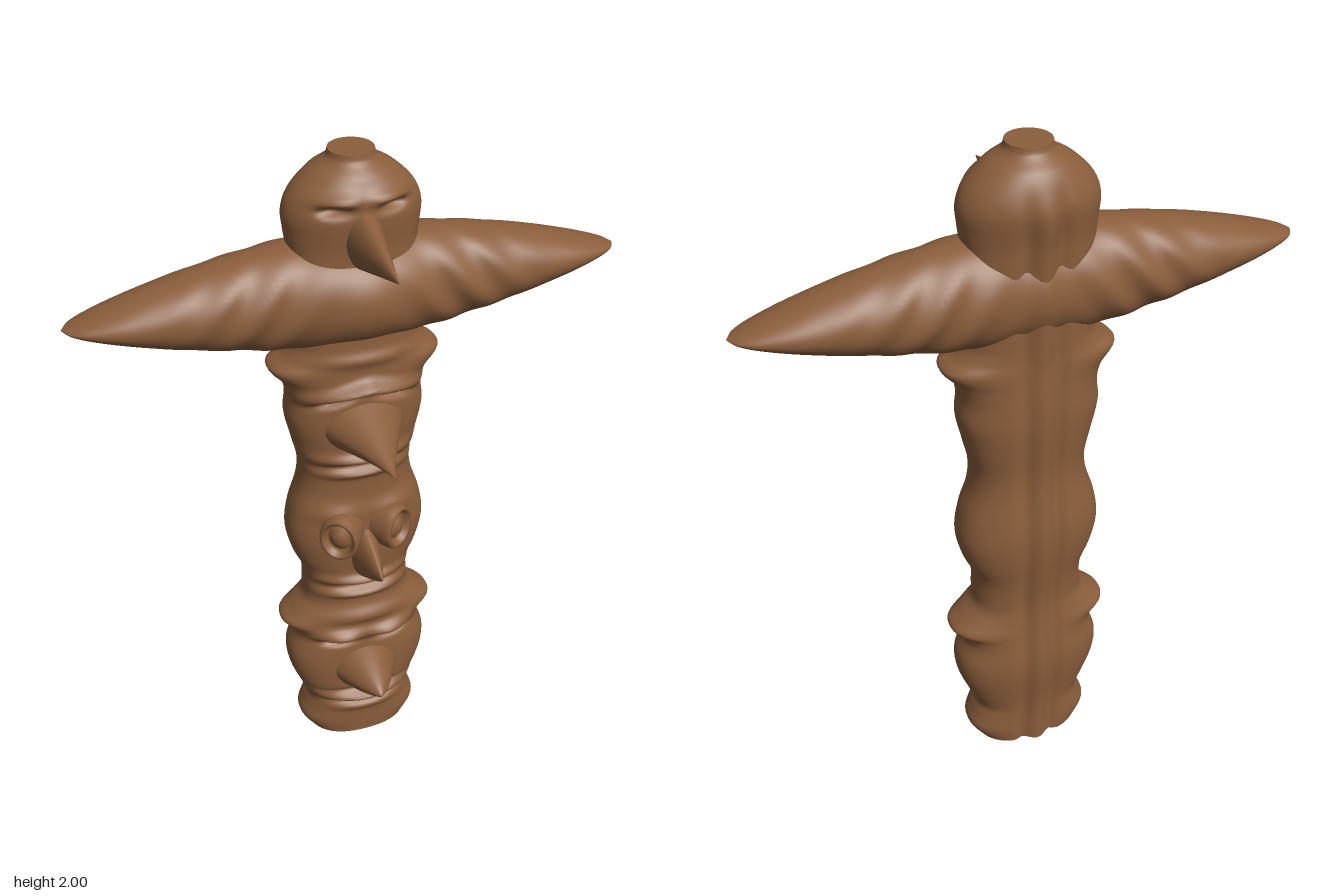
import * as THREE from 'three';

const CZ = -0.11; // depth of the pole axis
const gauss = (v, c, s) => Math.exp(-(((v - c) / s) ** 2));
const spow = (v, p) => Math.sign(v) * Math.abs(v) ** p;

// Smooth interpolation through [position, value] pairs
function curve(pts) {
  const slope = (i) => {
    const a = pts[Math.max(i - 1, 0)], b = pts[Math.min(i + 1, pts.length - 1)];
    return (b[1] - a[1]) / (b[0] - a[0]);
  };
  return (p) => {
    let i = 0;
    while (i < pts.length - 2 && p > pts[i + 1][0]) i++;
    const [x0, y0] = pts[i], [x1, y1] = pts[i + 1], h = x1 - x0;
    const t = Math.min(Math.max((p - x0) / h, 0), 1), t2 = t * t, t3 = t2 * t;
    return y0 * (2 * t3 - 3 * t2 + 1) + y1 * (3 * t2 - 2 * t3)
      + slope(i) * h * (t3 - 2 * t2 + t) + slope(i + 1) * h * (t3 - t2);
  };
}

// Closed skin over rings; fn(v, angle) gives a point, v runs 0..1
function loft(rows, cols, fn) {
  const pos = [], idx = [];
  for (let r = 0; r <= rows; r++) {
    for (let c = 0; c < cols; c++) {
      pos.push(...fn(r / rows, (c / cols) * Math.PI * 2));
      if (r === rows) continue;
      const a = r * cols + c, b = r * cols + ((c + 1) % cols);
      idx.push(a, b, b + cols, a, b + cols, a + cols);
    }
  }
  const g = new THREE.BufferGeometry();
  g.setAttribute('position', new THREE.Float32BufferAttribute(pos, 3));
  g.setIndex(idx);
  g.computeVertexNormals();
  return g;
}

const halfWidth = curve([
  [0, 0.165], [0.05, 0.195], [0.1, 0.18], [0.14, 0.168], [0.2, 0.192], [0.28, 0.22], [0.35, 0.225],
  [0.42, 0.205], [0.455, 0.215], [0.485, 0.245], [0.52, 0.21], [0.56, 0.172], [0.6, 0.165], [0.68, 0.167],
  [0.75, 0.195], [0.83, 0.211], [0.91, 0.2], [1.0, 0.172], [1.07, 0.166], [1.15, 0.182], [1.24, 0.2],
  [1.31, 0.195], [1.36, 0.208], [1.41, 0.245], [1.44, 0.205], [1.48, 0.18], [1.74, 0.175], [1.8, 0.182],
  [1.85, 0.185], [1.9, 0.165], [1.95, 0.115], [1.98, 0.068], [2, 0.06],
]);
const frontDepth = curve([
  [0, 0.12], [0.3, 0.13], [0.57, 0.11], [0.85, 0.125], [1.0, 0.11], [1.25, 0.125], [1.47, 0.12],
  [1.75, 0.115], [1.85, 0.125], [1.9, 0.118], [1.95, 0.095], [1.98, 0.065], [2, 0.06],
]);
const backDepth = curve([
  [0, 0.115], [0.15, 0.118], [0.35, 0.138], [0.58, 0.118], [0.84, 0.14], [1.05, 0.12], [1.25, 0.128],
  [1.45, 0.115], [1.75, 0.122], [1.85, 0.135], [1.9, 0.125], [1.95, 0.1], [1.98, 0.066], [2, 0.06],
]);

// Carved relief, mirrored in x: [x, y, spread x, spread y, height, fall per x]
const relief = [
  [0, 0.178, 0.13, 0.013, 0.026, 0], [0, 0.152, 0.13, 0.009, -0.018, 0], [0, 0.128, 0.13, 0.016, 0.012, 0],
  [0, 0.206, 0.13, 0.009, -0.014, 0],
  [0.08, 0.45, 0.08, 0.024, 0.035, 0], [0.09, 0.418, 0.05, 0.012, -0.03, 0], [0, 0.52, 0.14, 0.03, 0.022, 0],
  [0, 0.67, 0.13, 0.016, 0.024, 0], [0, 0.64, 0.13, 0.012, -0.014, 0], [0, 0.612, 0.13, 0.014, 0.018, 0],
  [0.09, 0.93, 0.07, 0.03, 0.015, 0],
  [0, 1.125, 0.13, 0.018, 0.026, 0], [0, 1.095, 0.13, 0.01, -0.012, 0], [0, 1.07, 0.13, 0.014, 0.016, 0],
  [0, 1.365, 0.16, 0.02, 0.038, 0.2], [0.08, 1.345, 0.06, 0.012, -0.028, 0.25], [0, 1.45, 0.15, 0.02, 0.012, 0],
  [0.07, 1.905, 0.06, 0.018, 0.022, 0], [0.08, 1.88, 0.035, 0.013, -0.03, 0],
];

function polePoint(y, a) {
  const round = 0.85 + 0.15 * THREE.MathUtils.smoothstep(y, 1.7, 1.85);
  const s = Math.sin(a), c = Math.cos(a);
  const x = halfWidth(y) * spow(s, round);
  let z = CZ + (c > 0 ? frontDepth(y) : backDepth(y)) * spow(c, round);
  const ax = Math.abs(x);
  if (c > 0) {
    for (const [rx, ry, sx, sy, h, fall] of relief) {
      z += Math.sqrt(c) * h * gauss(ax, rx, sx) * gauss(y + fall * ax, ry, sy);
    }
  } else {
    // spine ridge with a channel on each side
    const fade = 1 - THREE.MathUtils.smoothstep(y, 1.78, 1.95);
    z += fade * -c * (0.014 * gauss(ax, 0.045, 0.02) - 0.008 * gauss(ax, 0, 0.022));
  }
  return [x, y, z];
}

const wingHeight = curve([[0, 0.15], [0.18, 0.148], [0.35, 0.122], [0.5, 0.089], [0.65, 0.045], [0.74, 0.014], [0.77, 0]]);
const wingDepth = curve([[0, 0.125], [0.2, 0.128], [0.4, 0.115], [0.6, 0.092], [0.7, 0.064], [0.75, 0.034], [0.77, 0]]);

function wingPoint(v, a) {
  const x = -0.77 * Math.cos(v * Math.PI), ax = Math.abs(x);
  const c = Math.cos(a), s = Math.sin(a);
  let z = CZ + wingDepth(ax) * s;
  if (s > 0) z += 0.042 * gauss(ax, 0, 0.13) * s; // chest
  // shallow feather ripples
  z += 0.008 * s * gauss(ax, 0.28, 0.15) * Math.sin(ax * 48 + c * 5);
  if (s < 0) z -= 0.012 * gauss(ax, 0, 0.03) * -s;
  return [x, 1.617 + wingHeight(ax) * c, z];
}

// Beak tapering from an oval root to a tip
function beakGeometry({ root, tip, hw, hh, power }) {
  return loft(24, 32, (v, a) => {
    const k = (1 - v) ** power;
    const z = THREE.MathUtils.lerp(root[1], tip[1], v);
    const y = THREE.MathUtils.lerp(root[0], tip[0], v);
    return [hw * k * Math.cos(a), y + hh * k * spow(Math.sin(a), 1.15), z];
  });
}

export function createModel() {
  const model = new THREE.Group();
  model.name = 'totemPole';
  const wood = new THREE.MeshStandardMaterial({ color: 0x8b5e3c });
  wood.name = 'carvedWood';
  const add = (name, geometry) => {
    const mesh = new THREE.Mesh(geometry, wood);
    mesh.name = name;
    model.add(mesh);
    return mesh;
  };

  // Carved trunk with its flat ends
  add('trunk', loft(320, 112, (v, a) => polePoint(v * 2, a)));
  const cap = (name, y, flip) => add(name, loft(1, 112, (v, a) => {
    const p = polePoint(y, a), k = flip ? v : 1 - v;
    return [p[0] * k, y, CZ + (p[2] - CZ) * k];
  }));
  cap('topCap', 2, false);
  cap('baseCap', 0, true);

  add('wings', loft(160, 64, wingPoint));

  // Beaks and noses, bottom to top: [height, depth] for root and tip
  const beaks = {
    lowerNose: { root: [0.295, -0.03], tip: [0.312, 0.168], hw: 0.12, hh: 0.105, power: 0.75 },
    owlBeak: { root: [0.77, -0.03], tip: [0.79, 0.165], hw: 0.055, hh: 0.115, power: 0.85 },
    middleBeak: { root: [1.23, -0.03], tip: [1.225, 0.26], hw: 0.13, hh: 0.1, power: 1.2 },
    headBeak: { root: [1.795, -0.02], tip: [1.803, 0.258], hw: 0.055, hh: 0.09, power: 1 },
  };
  for (const [name, spec] of Object.entries(beaks)) add(name, beakGeometry(spec));

  // Cupped round eyes, turned outwards
  const eye = new THREE.LatheGeometry([
    [0.058, -0.08], [0.06, -0.02], [0.059, 0], [0.054, 0.01], [0.047, 0.008], [0.042, -0.004],
    [0.037, -0.012], [0.031, -0.009], [0.02, 0.001], [0.01, 0.005], [0, 0.006],
  ].map(([r, h]) => new THREE.Vector2(r, h)), 40);
  eye.rotateX(Math.PI / 2);
  eye.scale(1, 1.25, 1);
  for (const side of [1, -1]) {
    const mesh = add(side > 0 ? 'leftEye' : 'rightEye', eye);
    mesh.position.set(side * 0.092, 0.867, 0.035);
    mesh.rotation.y = side * 0.6;
  }
  return model;
}
